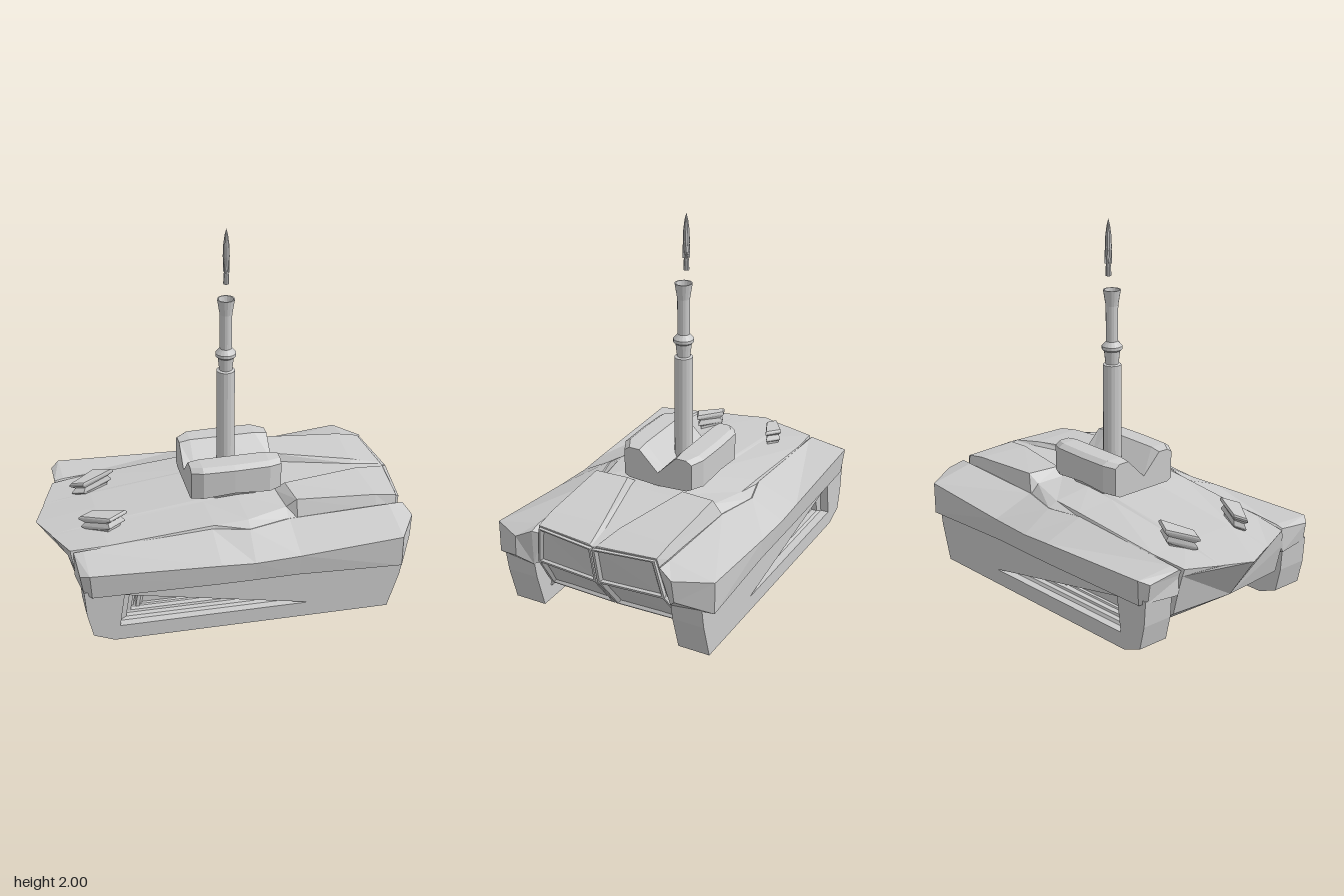
import * as THREE from 'three';

const flat = new THREE.MeshStandardMaterial({ color: 0xcccccc, flatShading: true });
const flatDouble = new THREE.MeshStandardMaterial({ color: 0xcccccc, flatShading: true, side: THREE.DoubleSide });

// Closed solid through equal-length rings of [x, y, z]; caps are triangulated on the two given axes.
function loft(rings, [u, v] = [2, 1]) {
  const tris = [], n = rings[0].length;
  for (let i = 0; i + 1 < rings.length; i++) {
    for (let j = 0; j < n; j++) {
      const k = (j + 1) % n, a = rings[i], b = rings[i + 1];
      tris.push([a[j], a[k], b[k]], [a[j], b[k], b[j]]);
    }
  }
  const cap = (ring, reverse) => {
    const pts = ring.map(p => new THREE.Vector2(p[u], p[v]));
    const turn = Math.sign(THREE.ShapeUtils.area(pts));
    for (const f of THREE.ShapeUtils.triangulateShape(pts, [])) {
      const same = Math.sign(THREE.ShapeUtils.area(f.map(i => pts[i]))) === turn;
      const t = f.map(i => ring[i]);
      tris.push(same !== reverse ? t : t.reverse());
    }
  };
  cap(rings[0], true);
  cap(rings[rings.length - 1], false);
  // Turn every face outward
  const vec = p => new THREE.Vector3(...p);
  const volume = tris.reduce((s, [a, b, c]) => s + vec(a).dot(vec(b).cross(vec(c))), 0);
  if (volume < 0) tris.forEach(t => t.reverse());
  const g = new THREE.BufferGeometry();
  g.setAttribute('position', new THREE.Float32BufferAttribute(tris.flat(2), 3));
  g.computeVertexNormals();
  return g;
}

const flipZ = ring => ring.map(([x, y, z]) => [x, y, -z]);
// Completes a half section whose first and last points lie on the centre plane
const mirrored = half => [...half, ...flipZ(half.slice(1, -1)).reverse()];
const shift = (ring, d) => ring.map(p => p.map((c, i) => c + d[i]));

// Framed panel: a rim with a sloped, sunken middle. d points into the body.
function pocket(quad, d, axes, inset) {
  const mid = [0, 1, 2].map(i => quad.reduce((s, p) => s + p[i], 0) / quad.length);
  const shrink = t => quad.map(p => p.map((c, i) => c + (mid[i] - c) * t));
  return loft([shift(quad, d), quad, shrink(inset * 0.5), shift(shrink(inset), d.map(c => c * 0.6))], axes);
}

// Hull half section: centre trough, deck edge and shoulder above a straight wall and flat belly
const hullSection = (x, yMid, zTrough, yTrough, zEdge, yEdge, zShoulder, yShoulder) => [
  [x, yMid, 0], [x, yMid, zTrough], [x, yTrough, zTrough + .02], [x + .015, yEdge, zEdge],
  [x + .015, yShoulder, zShoulder], [x, .3, .39], [Math.min(x, .72), .1, .4], [Math.min(x, .72), .1, 0]];

export function createModel() {
  const model = new THREE.Group();
  const add = (name, geometry, material = flat) => {
    const m = new THREE.Mesh(geometry, material);
    m.name = name;
    model.add(m);
    return m;
  };

  // Central hull: pointed nose, low deck, raised rear deck around a tapering trough, undercut end
  const nose = [[-.98, .435, 0], [-.92, .442, .15], [-.915, .443, .17], [-.845, .455, .35],
    [-.84, .42, .36], [-.83, .36, .37], [-.79, .2, .37], [-.82, .2, 0]];
  const tail = [[.965, .535, 0], [.96, .535, .01], [.955, .54, .02], [.925, .545, .34],
    [.915, .46, .36], [.88, .32, .38], [.73, .1, .39], [.73, .1, 0]];
  const hull = [
    nose,
    hullSection(-.66, .483, .15, .479, .37, .472, .378, .462),
    hullSection(-.1, .55, .15, .543, .378, .52, .386, .5),
    hullSection(.08, .578, .15, .566, .38, .532, .435, .505),
    hullSection(.3, .56, .15, .558, .33, .55, .38, .5),
    hullSection(.35, .555, .145, .597, .35, .6, .38, .5),
    hullSection(.79, .547, .03, .567, .345, .567, .37, .49),
    tail,
  ];
  add('hull', loft(hull.map(mirrored)));

  // Fenders: inner top, crease, outer top, outer bottom, inner bottom
  const fender = [
    [[-.82, .42, .33], [-.83, .455, .37], [-.825, .43, .56], [-.81, .33, .56], [-.83, .32, .38]],
    [[-.78, .43, .33], [-.78, .462, .375], [-.78, .45, .6], [-.77, .31, .585], [-.77, .3, .38]],
    [[-.1, .48, .33], [-.1, .504, .385], [-.1, .42, .61], [-.1, .3, .597], [-.1, .3, .38]],
    [[.08, .48, .36], [.09, .508, .44], [.08, .41, .612], [.08, .3, .6], [.08, .3, .38]],
    [[.31, .48, .33], [.32, .507, .382], [.32, .422, .617], [.31, .303, .606], [.31, .3, .38]],
    [[.86, .49, .34], [.87, .52, .38], [.87, .465, .63], [.87, .29, .628], [.86, .29, .38]],
    [[.91, .49, .34], [.95, .515, .37], [.98, .48, .45], [.97, .36, .46], [.9, .29, .4]],
  ];

  // Track housings with a long trapezoid window
  const podOutline = [[-.81, .34], [-.8, .2], [-.77, .07], [-.66, .025], [.82, .005], [.88, .2], [.9, .31]];
  const window = [[-.6, .315], [-.63, .11], [.76, .09], [.67, .315]];
  const v2 = list => list.map(p => new THREE.Vector2(...p));
  const podShape = new THREE.Shape(v2(podOutline));
  podShape.holes.push(new THREE.Path(v2(window)));
  const pod = new THREE.ExtrudeGeometry(podShape, { depth: .175, bevelEnabled: false });
  // Window outline drawn in by t at depth z
  const step = ([t, z]) => window.map(([x, y], i) => [x + (i < 2 ? t : -t), y + (i % 3 ? t * .35 : 0), z]);
  const recess = [[0, .39], [0, .53], [.04, .52], [.04, .49], [.07, .485], [.07, .455], [.09, .45], [.09, .42]].map(step);
  const bays = [
    [[-.5, .315, .46], [-.53, .125, .46], [.1, .12, .46], [.1, .315, .46]],
    [[.1, .315, .46], [.1, .12, .46], [.67, .115, .46], [.59, .315, .46]],
  ];

  // Rear end panels, two leaning above two undercut ones
  const rearUpper = [[.98, .53, .004], [.94, .535, .335], [.905, .32, .37], [.935, .32, .004]];
  const rearLower = [[.935, .32, .004], [.905, .32, .37], [.745, .1, .4], [.76, .1, .004]];

  // Deck vents: waisted stack of slanted diamonds
  const diamond = [[-.77, .17], [-.62, .27], [-.52, .22], [-.7, .14]];
  const vent = [[.46, .7], [.485, .72], [.496, .9], [.504, .9], [.525, .74], [.543, 1], [.553, 1], [.562, .92]].map(([y, s]) =>
    diamond.map(([x, z]) => [-.65 + (x + .65) * s, y + (x + .65) * .14, .2 + (z - .2) * s]));

  for (const [side, mir, dir] of [['left', r => r, 1], ['right', flipZ, -1]]) {
    const both = rings => rings.map(mir);
    add(side + 'Fender', loft(both(fender)));
    add(side + 'TrackHousing', pod).position.z = dir > 0 ? .4 : -.575;
    add(side + 'WindowRecess', loft(both(recess), [0, 1]));
    for (const b of bays) add(side + 'WindowBay', pocket(mir(b), [0, 0, -.045 * dir], [0, 1], .12));
    add(side + 'RearUpperPanel', pocket(mir(rearUpper), [-.025, 0, 0], [2, 1], .14));
    add(side + 'RearLowerPanel', pocket(mir(rearLower), [-.025, .015, 0], [2, 1], .14));
    add(side + 'DeckVent', loft(both(vent), [0, 2]));
  }

  // Turret with a V groove along its top, narrower at both ends
  const turret = [[-.17, .2, .59, .76], [-.11, .235, .6, .77], [.06, .24, .615, .77], [.25, .235, .6, .77], [.32, .2, .6, .76]]
    .map(([x, w, low, top]) => mirrored([[x, .65, 0], [x, top, .11], [x, top, w - .03], [x, top - .02, w],
      [x, low, w], [x, low - .015, w - .03], [x, .575, 0]]));
  add('turret', loft(turret));
  const octagon = [[-1, -.6], [-.6, -1], [.6, -1], [1, -.6], [1, .6], [.6, 1], [-.6, 1], [-1, .6]];
  const pedestal = [[.53, .15], [.61, .21]].map(([y, r]) => octagon.map(([a, b]) => [.075 + a * r * 1.05, y, b * r]));
  add('turretPedestal', loft(pedestal, [0, 2]));

  // Upright launch barrel with a hollow flared muzzle
  const lathe = (name, profile, sides, x, z) =>
    add(name, new THREE.LatheGeometry(v2(profile), sides), flatDouble).position.set(x, 0, z);
  lathe('barrel', [[0, .6], [.049, .6], [.049, 1.22], [.035, 1.225], [.043, 1.295], [.055, 1.305], [.055, 1.322], [.032, 1.348],
    [.033, 1.54], [.047, 1.625], [.04, 1.625], [.026, 1.54], [.026, 1.4], [0, 1.4]], 16, .065, -.015);

  // Rocket above the muzzle
  lathe('rocket', [[0, 1.7], [.015, 1.7], [.014, 1.75], [.009, 1.775], [.014, 1.8], [.018, 1.85], [.016, 1.91], [.009, 1.965], [0, 2]],
    10, .07, -.034);
  for (let i = 0; i < 4; i++) {
    const fin = add('rocketFin', new THREE.BoxGeometry(.019, .07, .003));
    fin.geometry.translate(.0095, 1.8, 0);
    fin.rotation.y = i * Math.PI / 2 + Math.PI / 4;
    fin.position.set(.07, 0, -.034);
  }
  return model;
}
